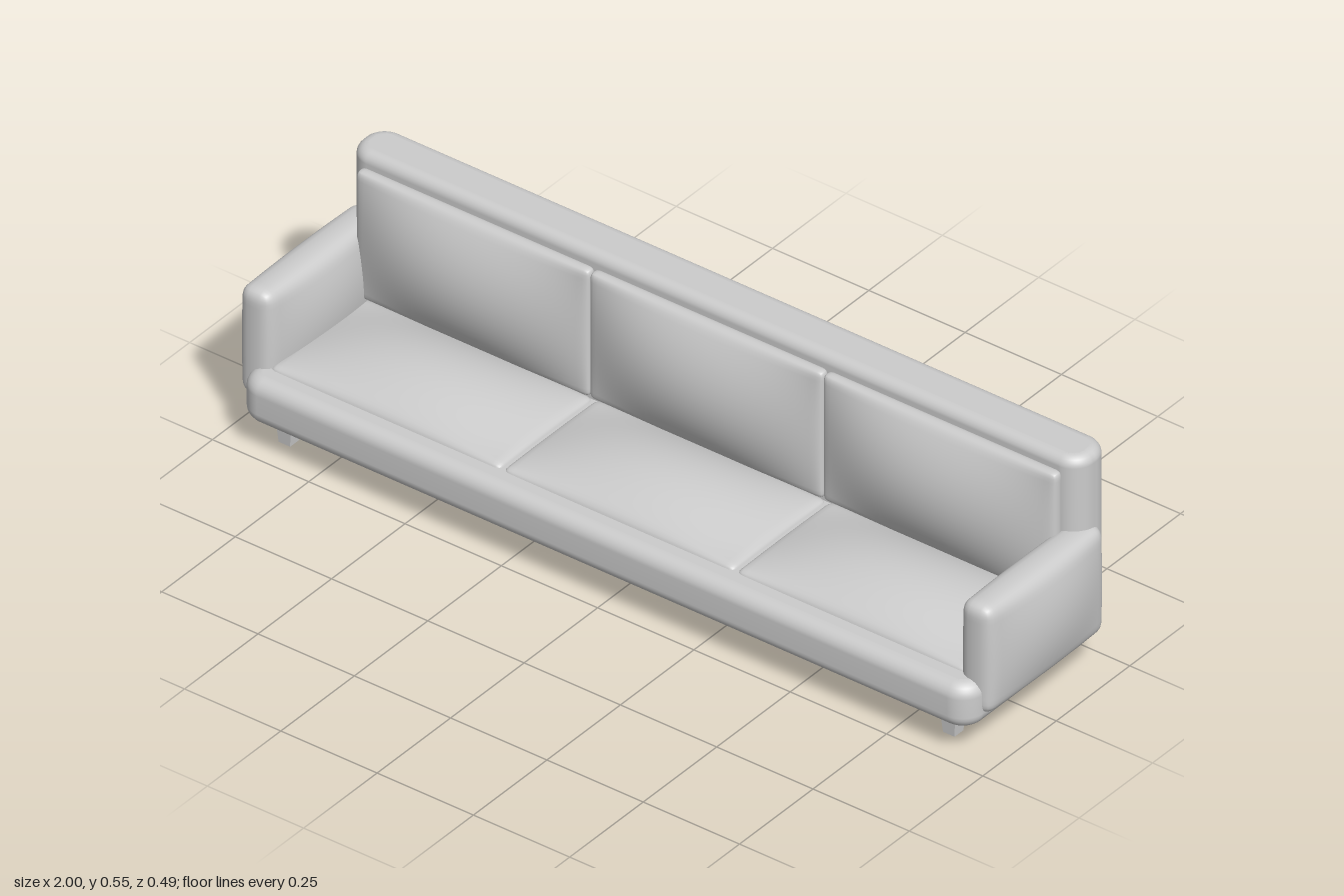
import * as THREE from 'three';
import { mergeVertices } from 'three/addons/utils/BufferGeometryUtils.js';

const material = new THREE.MeshStandardMaterial({ color: 0xcccccc });

function add(parent, name, geometry, x, y, z) {
  const mesh = new THREE.Mesh(geometry, material);
  mesh.name = name;
  mesh.position.set(x, y, z);
  parent.add(mesh);
  return mesh;
}

// Upholstered block: rounded plan outline, extruded upwards with soft top and bottom edges
function softSlab(w, h, d, corner, edge) {
  const x = w / 2 - edge, y = d / 2 - edge, r = corner - edge;
  const s = new THREE.Shape();
  s.absarc(x - r, y - r, r, 0, Math.PI / 2);
  s.absarc(-x + r, y - r, r, Math.PI / 2, Math.PI);
  s.absarc(-x + r, -y + r, r, Math.PI, Math.PI * 1.5);
  s.absarc(x - r, -y + r, r, Math.PI * 1.5, Math.PI * 2);
  s.closePath();
  let g = new THREE.ExtrudeGeometry(s, {
    depth: h - 2 * edge, bevelSize: edge, bevelThickness: edge, bevelSegments: 6, curveSegments: 8,
  });
  g.translate(0, 0, edge - h / 2);
  g.rotateX(-Math.PI / 2);
  g.deleteAttribute('normal');
  g.deleteAttribute('uv');
  g = mergeVertices(g, 1e-5);
  g.computeVertexNormals();
  return g;
}

// Cushion lying in the xy plane: rounded box whose front (and optionally back) face is crowned
function pillow(w, h, t, r, bulge, bothSides) {
  let g = new THREE.BoxGeometry(2, 2, 2, 30, 24, 8);
  g.deleteAttribute('normal');
  g.deleteAttribute('uv');
  g = mergeVertices(g);
  const half = new THREE.Vector3(w / 2, h / 2, t / 2);
  const inner = half.clone().subScalar(r);
  const minInner = inner.clone().negate();
  const p = g.attributes.position, v = new THREE.Vector3(), c = new THREE.Vector3();
  const ease = (a) => Math.sin(a * Math.PI / 2); // crowds the grid towards the edges
  for (let i = 0; i < p.count; i++) {
    v.fromBufferAttribute(p, i);
    v.set(ease(v.x), ease(v.y), ease(v.z)).multiply(half);
    c.copy(v).clamp(minInner, inner);
    v.sub(c).setLength(r).add(c);
    const crown = (1 - (v.x / half.x) ** 2) * (1 - (v.y / half.y) ** 2);
    const side = v.z / half.z;
    v.z += bulge * crown * (bothSides ? side : (side + 1) / 2);
    p.setXYZ(i, v.x, v.y, v.z);
  }
  g.computeVertexNormals();
  return g;
}

export function createModel() {
  const sofa = new THREE.Group();
  sofa.name = 'sofa';

  // Base and backrest
  add(sofa, 'base', softSlab(1.9, 0.11, 0.446, 0.055, 0.032), 0.007, 0.13, 0.022);
  add(sofa, 'backrest', softSlab(1.9, 0.437, 0.114, 0.052, 0.024), 0.007, 0.3335, -0.188);

  // Three seat cushions with three back cushions behind
  const seat = pillow(0.604, 0.325, 0.05, 0.018, 0.052, false).rotateX(-Math.PI / 2);
  const back = pillow(0.606, 0.318, 0.03, 0.0135, 0.053, false);
  for (let i = -1; i <= 1; i++) {
    const x = 0.005 + i * 0.606;
    add(sofa, 'seatCushion', seat, x, 0.168, 0.0275);
    add(sofa, 'backCushion', back, x, 0.36, -0.123);
  }

  // Padded arms
  const arm = pillow(0.403, 0.27, 0.076, 0.028, 0.027, true).rotateY(Math.PI / 2);
  for (const side of [-1, 1]) add(sofa, side > 0 ? 'leftArm' : 'rightArm', arm, side * 0.936, 0.236, -0.003);

  // Square tapered legs
  const leg = new THREE.CylinderGeometry(0.022 * Math.SQRT2, 0.015 * Math.SQRT2, 0.085, 4)
    .rotateY(Math.PI / 4).toNonIndexed();
  leg.computeVertexNormals();
  for (const x of [-0.872, 0.853]) {
    for (const z of [0.158, -0.109]) add(sofa, z > 0 ? 'frontLeg' : 'backLeg', leg, x, 0.0425, z);
  }
  return sofa;
}
